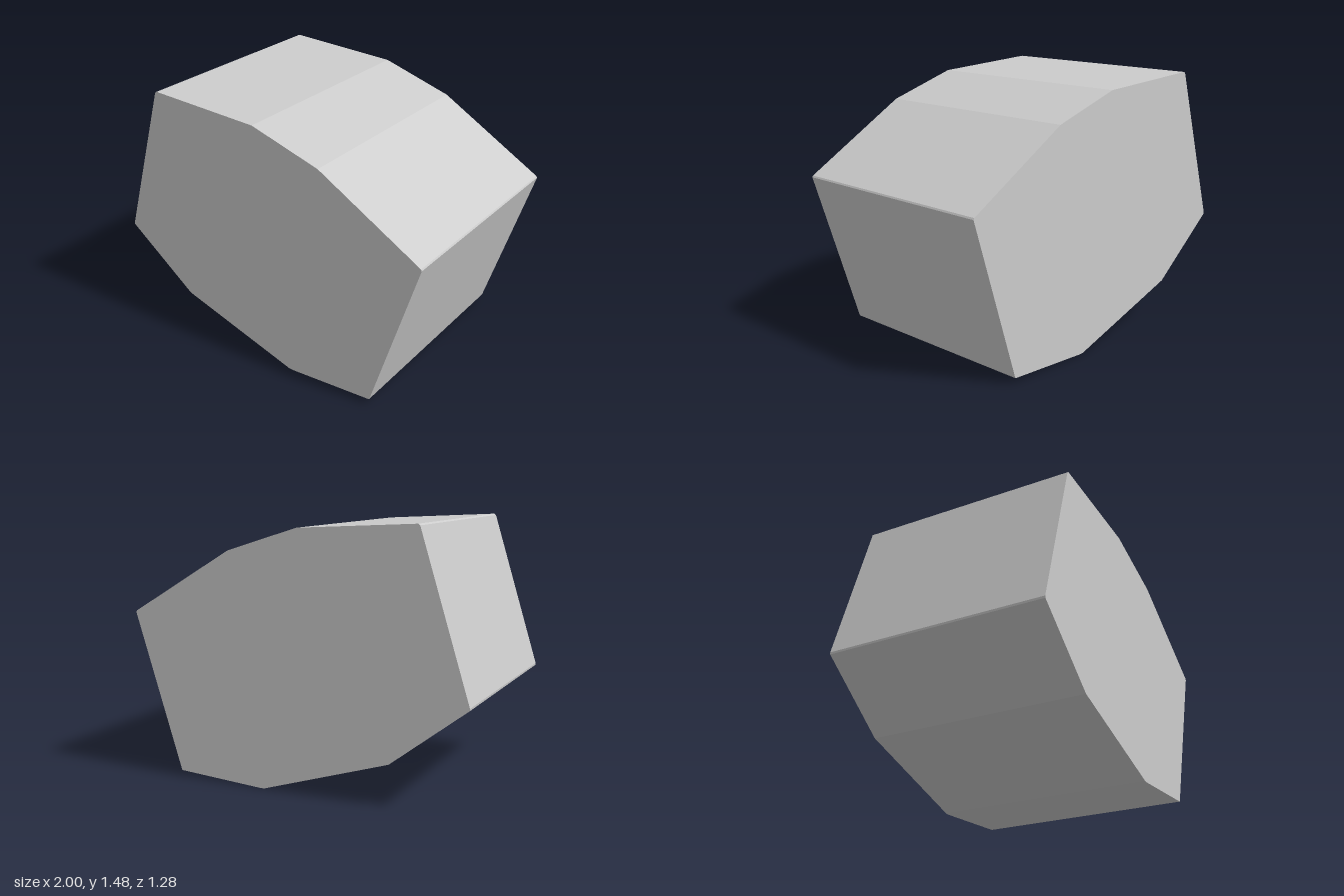
import * as THREE from 'three';

export function createModel() {
  const group = new THREE.Group();
  const depth = 1.285;

  // Faceted profile, counter-clockwise, with tiny chamfers at the sharp corners
  const profile = [
    [0.18, 0.003], [0.2, 0.003], [0.713, 0.036], [0.717, 0.045],
    [0.999, 0.938], [0.994, 0.947], [0.38, 1.31], [-0.04, 1.442],
    [-0.715, 1.478], [-0.726, 1.47], [-1, 0.58], [-0.999, 0.568],
    [-0.57, 0.238], [0.17, 0.004],
  ].map(([x, y]) => new THREE.Vector2(x, y));

  // Solid block: the profile swept straight from back to front
  const geometry = new THREE.ExtrudeGeometry(new THREE.Shape(profile), {
    depth, bevelEnabled: false,
  });
  geometry.translate(0, -0.003, -depth / 2);

  const block = new THREE.Mesh(geometry, new THREE.MeshStandardMaterial({
    color: 0xcccccc, flatShading: true,
  }));
  block.name = 'facetedBlock';
  group.add(block);
  return group;
}
